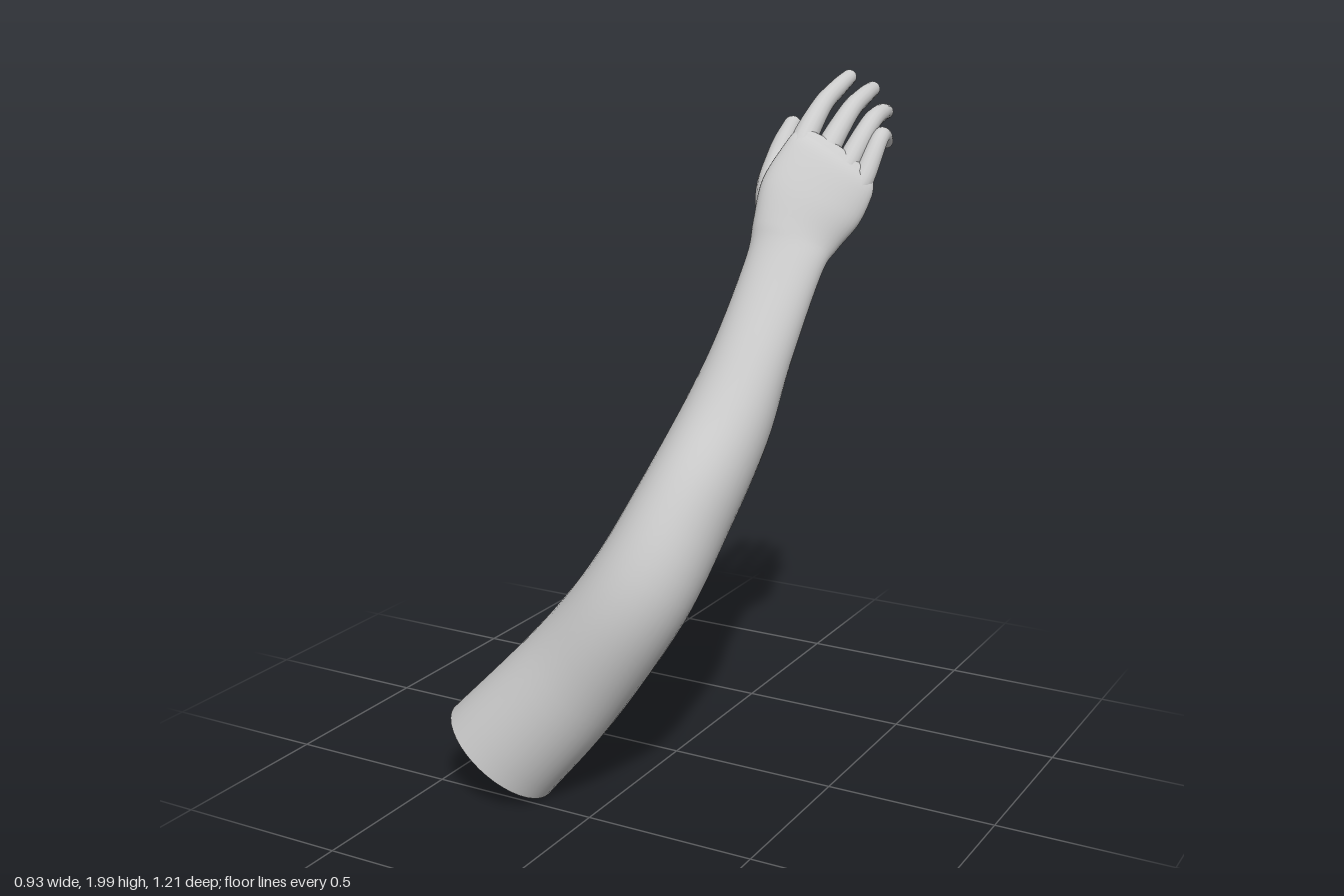
import * as THREE from 'three';

const material = new THREE.MeshStandardMaterial({ color: 0xcccccc, side: THREE.DoubleSide });

// Smooth skin through elliptical sections, open at the start and domed at the end.
// Each row: centre x,y,z, half-width vector x,y,z, half thickness.
function loft(name, rows, sides, stepsPerSpan) {
  const curve = (pick) => new THREE.CatmullRomCurve3(rows.map(pick), false, 'catmullrom', 0.5);
  const centres = curve((r) => new THREE.Vector3(r[0], r[1], r[2]));
  const widths = curve((r) => new THREE.Vector3(r[3], r[4], r[5]));
  const depths = curve((r) => new THREE.Vector3(r[6], 0, 0));
  const positions = [];
  const index = [];
  let rings = 0;

  const addRing = (t, scale, push) => {
    const tangent = centres.getTangent(t);
    const width = widths.getPoint(t);
    const depth = depths.getPoint(t).x;
    const centre = centres.getPoint(t).addScaledVector(tangent, push * depth);
    const thick = tangent.clone().cross(width).normalize().multiplyScalar(depth);
    for (let j = 0; j < sides; j++) {
      const a = (j / sides) * Math.PI * 2;
      const p = centre.clone()
        .addScaledVector(width, Math.cos(a) * scale)
        .addScaledVector(thick, Math.sin(a) * scale);
      positions.push(p.x, p.y, p.z);
    }
    rings++;
  };

  const steps = (rows.length - 1) * stepsPerSpan;
  for (let i = 0; i <= steps; i++) addRing(i / steps, 1, 0);
  for (let i = 1; i <= 6; i++) {
    const a = (i / 6) * Math.PI / 2;
    addRing(1, Math.cos(a), Math.sin(a));
  }

  for (let i = 0; i < rings - 1; i++) {
    for (let j = 0; j < sides; j++) {
      const k = (j + 1) % sides;
      const a = i * sides + j, b = i * sides + k;
      const c = a + sides, d = b + sides;
      index.push(a, b, c, b, d, c);
    }
  }
  const geometry = new THREE.BufferGeometry();
  geometry.setAttribute('position', new THREE.Float32BufferAttribute(positions, 3));
  geometry.setIndex(index);
  geometry.computeVertexNormals();
  const mesh = new THREE.Mesh(geometry, material);
  mesh.name = name;
  return mesh;
}

// Round digit from joints given as x, y, z, radius
function digit(name, joints) {
  return loft(name, joints.map(([x, y, z, r]) => [x, y, z, r, 0, 0, r]), 16, 6);
}

export function createModel() {
  const group = new THREE.Group();
  group.name = 'arm';

  // Upper arm, elbow, forearm, wrist and palm in one skin
  group.add(loft('armAndPalm', [
    [-0.32, 0.12, 0.45, 0.142, -0.115, -0.02, 0.16],
    [-0.11, 0.365, 0.40, 0.122, -0.118, 0.0, 0.15],
    [0.075, 0.635, 0.355, 0.137, -0.065, 0.02, 0.145],
    [0.155, 0.86, 0.235, 0.134, -0.035, 0.0, 0.148],
    [0.207, 1.065, 0.105, 0.125, -0.03, -0.01, 0.125],
    [0.243, 1.255, 0.01, 0.107, -0.025, -0.02, 0.09],
    [0.275, 1.48, -0.115, 0.102, -0.02, -0.03, 0.063],
    [0.285, 1.56, -0.165, 0.108, -0.04, -0.045, 0.062],
    [0.308, 1.65, -0.215, 0.128, -0.06, -0.045, 0.058],
    [0.338, 1.735, -0.265, 0.12, -0.072, -0.03, 0.045],
    [0.345, 1.768, -0.29, 0.11, -0.072, -0.025, 0.034],
  ], 40, 6));

  // Hand digits
  const hand = new THREE.Group();
  hand.name = 'digits';
  hand.add(
    digit('thumb', [
      [0.235, 1.53, -0.16, 0.04],
      [0.185, 1.615, -0.235, 0.056],
      [0.145, 1.675, -0.305, 0.046],
      [0.127, 1.735, -0.365, 0.034],
      [0.128, 1.785, -0.41, 0.032],
      [0.135, 1.835, -0.45, 0.025],
    ]),
    digit('indexFinger', [
      [0.26, 1.74, -0.225, 0.035],
      [0.254, 1.805, -0.27, 0.037],
      [0.264, 1.9, -0.375, 0.029],
      [0.272, 1.945, -0.465, 0.026],
      [0.275, 1.97, -0.535, 0.022],
    ]),
    digit('middleFinger', [
      [0.315, 1.71, -0.235, 0.033],
      [0.318, 1.778, -0.285, 0.036],
      [0.334, 1.882, -0.405, 0.029],
      [0.335, 1.92, -0.505, 0.026],
      [0.33, 1.935, -0.582, 0.022],
    ]),
    digit('ringFinger', [
      [0.365, 1.68, -0.25, 0.033],
      [0.378, 1.745, -0.295, 0.034],
      [0.396, 1.85, -0.41, 0.028],
      [0.39, 1.875, -0.505, 0.025],
      [0.377, 1.872, -0.578, 0.021],
    ]),
    digit('littleFinger', [
      [0.405, 1.65, -0.26, 0.032],
      [0.424, 1.71, -0.305, 0.033],
      [0.436, 1.81, -0.385, 0.026],
      [0.428, 1.818, -0.44, 0.024],
      [0.417, 1.797, -0.49, 0.02],
    ]),
  );
  group.add(hand);
  return group;
}
